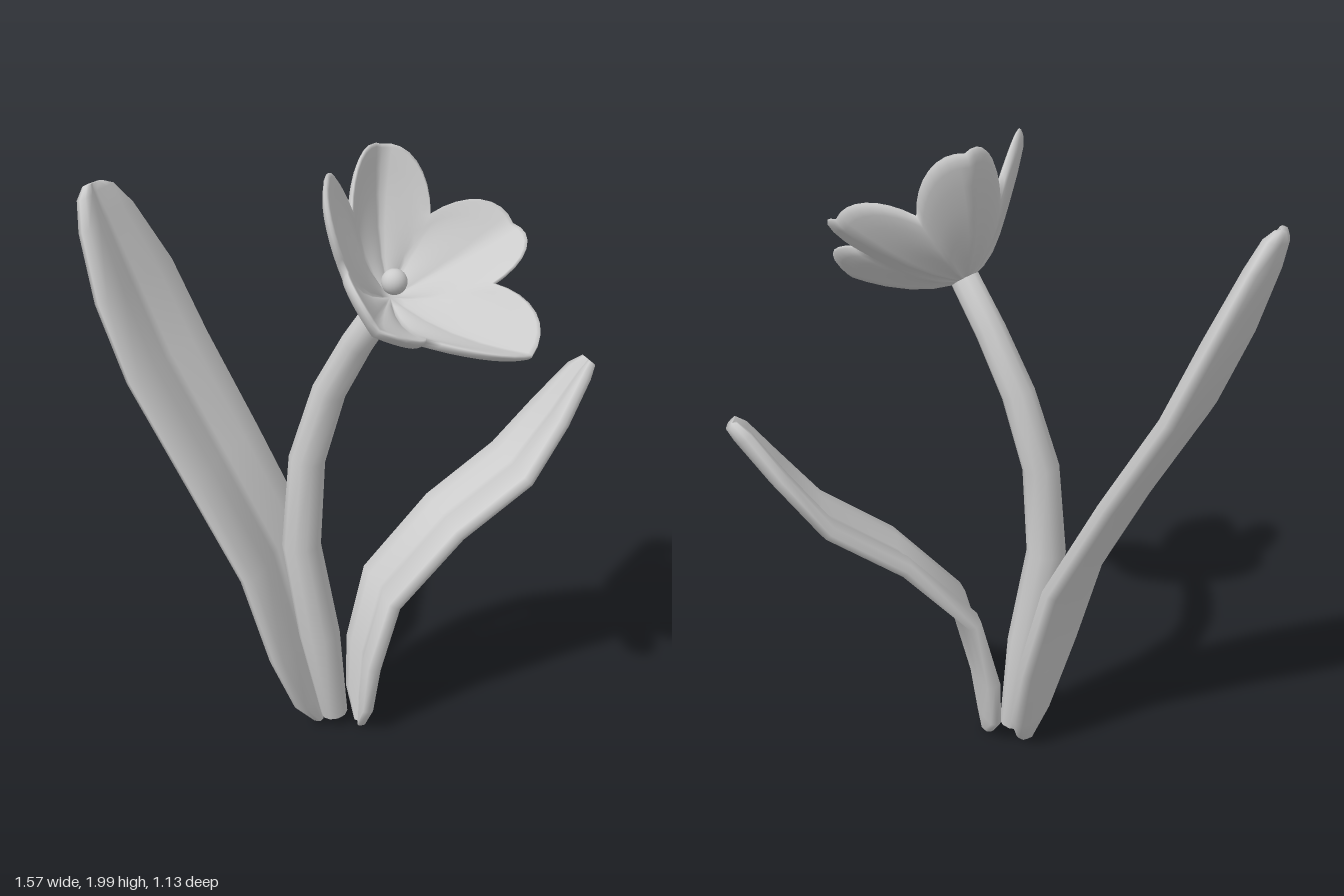
import * as THREE from 'three';
import { mergeVertices } from 'three/addons/utils/BufferGeometryUtils.js';

const V = (x, y, z) => new THREE.Vector3(x, y, z);

// Skin a list of closed rings (equal point counts) into a smooth surface.
function skin(rings) {
  const n = rings[0].length;
  const index = [];
  for (let i = 0; i < rings.length - 1; i++) {
    for (let j = 0; j < n; j++) {
      const k = (j + 1) % n;
      const a = i * n + j, b = i * n + k, c = a + n, d = b + n;
      index.push(a, b, d, a, d, c);
    }
  }
  let geo = new THREE.BufferGeometry().setFromPoints(rings.flat());
  geo.setIndex(index);
  geo = mergeVertices(geo, 1e-5);
  geo.computeVertexNormals();
  return geo;
}

// Loft a cross-section along stations [x, y, z, width scale, thickness scale].
function loft(stations, widthDir, section) {
  const centres = stations.map(([x, y, z]) => V(x, y, z));
  const last = stations.length - 1;
  const rings = stations.map(([, , , sw, st], i) => {
    const t = centres[Math.min(i + 1, last)].clone().sub(centres[Math.max(i - 1, 0)]).normalize();
    const w = widthDir.clone().addScaledVector(t, -widthDir.dot(t)).normalize();
    const n = t.clone().cross(w);
    return section.map(([s, h]) =>
      centres[i].clone().addScaledVector(w, s * sw).addScaledVector(n, h * st));
  });
  // Close both ends by collapsing a ring to its middle
  const collapse = (ring) => {
    const mid = ring.reduce((sum, p) => sum.add(p), V(0, 0, 0)).divideScalar(ring.length);
    return ring.map(() => mid.clone());
  };
  return skin([collapse(rings[0]), ...rings, collapse(rings[last])]);
}

// Thick leaf section: rounded edges, two soft pads with a groove above, ridge below
const leafSection = [
  [1, 0.006], [0.92, 0.028], [0.5, 0.03], [0.08, 0.008], [-0.08, 0.008], [-0.5, 0.03],
  [-0.92, 0.028], [-1, 0.006], [-0.92, -0.016], [-0.5, -0.03], [0, -0.04], [0.5, -0.03], [0.92, -0.016],
];

const roundSection = Array.from({ length: 10 }, (_, i) => {
  const a = (i / 10) * Math.PI * 2;
  return [Math.cos(a), Math.sin(a)];
});

// Cup of lobes: each half petal is a quarter ellipse from its tip to the notch beside it.
// The outer wall runs from the base to the rim, then the inner wall runs back.
function flowerGeometry(base, axis, tips, notches) {
  const half = 0.019, steps = 8;
  const rim = [];
  const lobe = (tip, notch, f) => {
    const a = (f * Math.PI) / 2;
    const mid = base.clone().lerp(tip, 0.53).addScaledVector(axis, -0.025);
    return mid.clone().addScaledVector(tip.clone().sub(mid), Math.cos(a))
      .addScaledVector(notch.clone().sub(mid), Math.sin(a));
  };
  tips.forEach((tip, p) => {
    const before = notches[(p + tips.length - 1) % tips.length];
    for (let i = steps; i > 0; i--) rim.push(lobe(tip, before, i / steps));
    for (let i = 0; i < steps; i++) rim.push(lobe(tip, notches[p], i / steps));
  });
  const us = [0, 0.12, 0.3, 0.5, 0.7, 0.85, 0.96];
  const rows = us.map((u) => [u, -half]);
  rows.push([0.99, -half * 0.6], [1, 0], [0.99, half * 0.6]);
  us.slice().reverse().forEach((u) => rows.push([u, half]));
  return skin(rows.map(([u, offset]) => rim.map((p) =>
    base.clone().lerp(p, u).addScaledVector(axis, offset - 0.16 * u * (1 - u)))));
}

export function createModel() {
  const group = new THREE.Group();
  const material = new THREE.MeshStandardMaterial({ color: 0xcccccc });
  const add = (name, geometry) => {
    const mesh = new THREE.Mesh(geometry, material);
    mesh.name = name;
    group.add(mesh);
    return mesh;
  };

  // Tall leaf leaning back to the right
  add('tallLeaf', loft([
    [-0.14, 0.01, -0.085, 0.04, 0.6],
    [-0.16, 0.11, -0.1, 0.12, 1],
    [-0.205, 0.33, -0.12, 0.18, 1.2],
    [-0.275, 0.64, -0.16, 0.2, 1.2],
    [-0.415, 0.97, -0.255, 0.21, 1.2],
    [-0.55, 1.28, -0.37, 0.215, 1.2],
    [-0.63, 1.52, -0.43, 0.195, 1.2],
    [-0.695, 1.72, -0.465, 0.13, 1],
    [-0.72, 1.8, -0.475, 0.08, 0.8],
    [-0.725, 1.825, -0.48, 0.04, 0.4],
  ], V(-0.7, 0, 0.7), leafSection));

  // Shorter leaf reaching out to the left
  add('shortLeaf', loft([
    [-0.025, 0.01, -0.01, 0.03, 0.5],
    [-0.02, 0.1, -0.02, 0.105, 0.8],
    [0.0, 0.27, -0.035, 0.13, 1],
    [0.065, 0.51, -0.04, 0.145, 1],
    [0.28, 0.74, -0.04, 0.15, 1],
    [0.51, 0.9, -0.04, 0.15, 1],
    [0.64, 1.07, -0.04, 0.11, 0.95],
    [0.73, 1.2, -0.04, 0.06, 0.85],
    [0.76, 1.235, -0.04, 0.03, 0.6],
  ], V(0, 0, -1), leafSection));

  // Curved stem
  add('stem', loft([
    [-0.105, 0.04, -0.05, 0.045, 0.045],
    [-0.15, 0.36, -0.06, 0.065, 0.068],
    [-0.2, 0.7, -0.08, 0.063, 0.063],
    [-0.175, 1.0, -0.085, 0.058, 0.058],
    [-0.11, 1.24, -0.05, 0.053, 0.053],
    [-0.045, 1.42, 0.03, 0.049, 0.049],
    [0.015, 1.565, 0.11, 0.046, 0.046],
  ], V(0, 0, 1), roundSection));

  // Flower cup, petals listed counterclockwise from the rear one, with its centre bead
  const axis = V(0.33, 0.77, 0.54).normalize();
  const tips = [
    V(0.055, 1.985, -0.065), V(-0.195, 1.975, 0.23), V(-0.15, 1.66, 0.55),
    V(0.32, 1.505, 0.48), V(0.4, 1.77, 0.12),
  ];
  const notches = [
    V(-0.08, 1.84, 0.08), V(-0.17, 1.75, 0.33), V(0.04, 1.55, 0.39),
    V(0.295, 1.64, 0.25), V(0.18, 1.79, 0.02),
  ];
  add('flower', flowerGeometry(V(0.02, 1.575, 0.115), axis, tips, notches));
  add('flowerCentre', new THREE.SphereGeometry(0.038, 20, 14)).position.set(0.03, 1.645, 0.15);

  return group;
}
